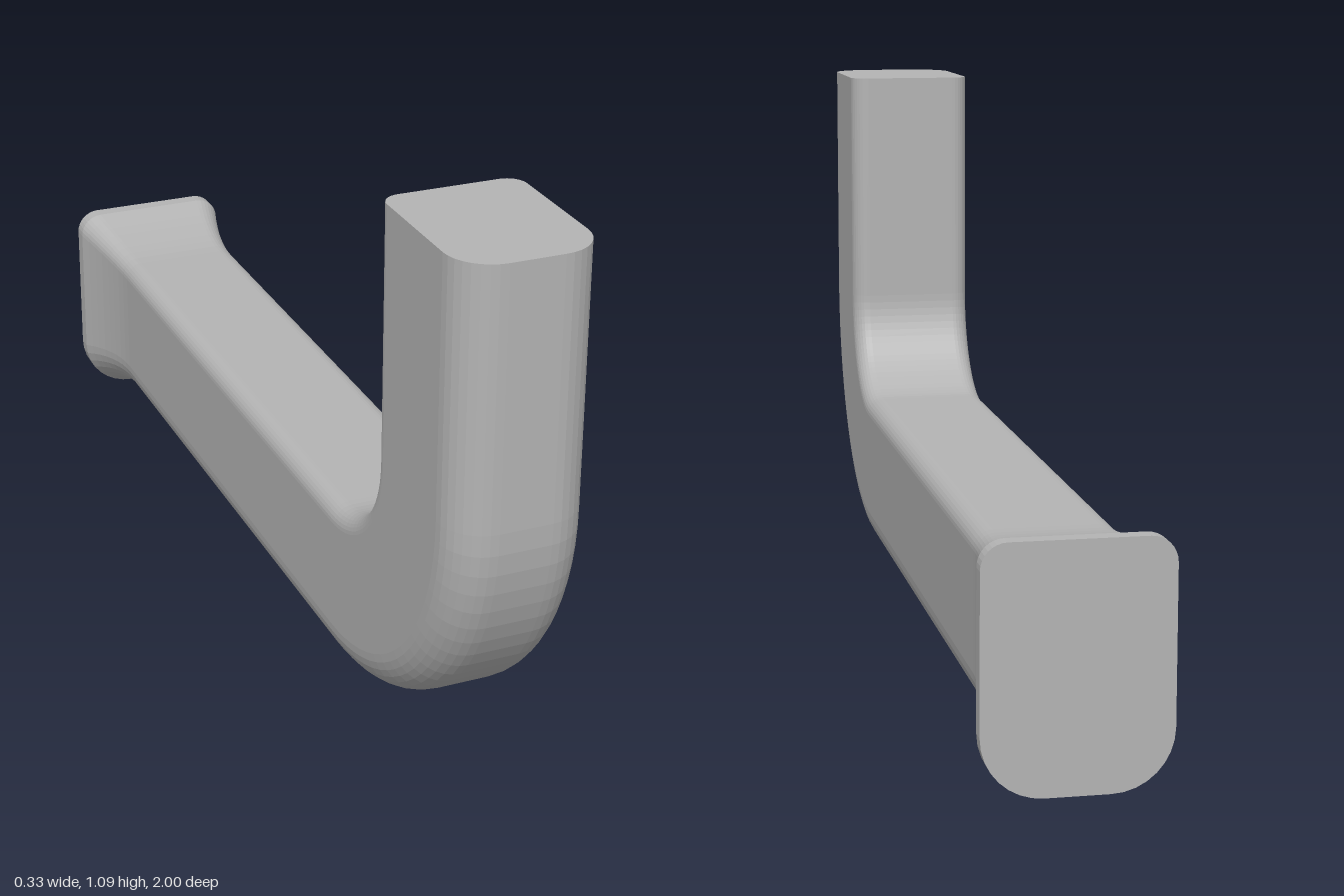
import * as THREE from 'three';

const DEPTH = 0.335, HALF = 0.13, BASE = 0.065; // bar section and its height off the floor
const BEND_Y = 0.6, BEND_Z = 0.465, OUTER_R = 0.535; // elbow centre and outer radius
const TOP = 1.09, CORNER_STEPS = 8, BEND_STEPS = 20, FLARE_STEPS = 8;

// Rounded section as [x, v] points, anticlockwise; v = 0 is the outside of the bend.
// flare runs from 0 (plain bar) to 1 (full end flange).
function section(flare) {
  const hw = HALF + 0.037 * flare;
  const low = -BASE * flare, high = DEPTH + 0.04 * flare;
  const rOut = 0.08 + 0.03 * flare, rIn = 0.035 + 0.012 * flare;
  const corners = [
    [hw - rOut, low + rOut, rOut, -90],
    [hw - rIn, high - rIn, rIn, 0],
    [-hw + rIn, high - rIn, rIn, 90],
    [-hw + rOut, low + rOut, rOut, 180],
  ];
  const points = [];
  for (const [cx, cv, r, start] of corners) {
    for (let k = 0; k <= CORNER_STEPS; k++) {
      const a = THREE.MathUtils.degToRad(start + (90 * k) / CORNER_STEPS);
      points.push([cx + r * Math.cos(a), cv + r * Math.sin(a)]);
    }
  }
  return points;
}

function buildRings() {
  const rings = [];
  const straight = (z, flare) =>
    rings.push(section(flare).map(([x, v]) => [x, v + BASE, z]));

  // End flange, then the flare easing into the bar
  straight(-1, 1);
  for (let i = FLARE_STEPS; i >= 0; i--) {
    const t = i / FLARE_STEPS;
    straight(-0.75 - 0.22 * t, Math.pow(t, 1.8));
  }
  // Elbow, turning the section upwards
  const plain = section(0);
  for (let i = 0; i <= BEND_STEPS; i++) {
    const a = (Math.PI / 2) * (i / BEND_STEPS);
    rings.push(plain.map(([x, v]) => {
      const r = OUTER_R - v;
      return [x, BEND_Y - r * Math.cos(a), BEND_Z + r * Math.sin(a)];
    }));
  }
  // Upright end
  rings.push(plain.map(([x, v]) => [x, TOP, BEND_Z + OUTER_R - v]));
  return rings;
}

// Skin the rings and close both ends
function skin(rings) {
  const n = rings[0].length, last = rings.length - 1;
  const positions = rings.flat(2), index = [];
  for (let i = 0; i < last; i++) {
    for (let j = 0; j < n; j++) {
      const k = (j + 1) % n;
      const a = i * n + j, b = i * n + k;
      index.push(a, b, b + n, a, b + n, a + n);
    }
  }
  for (let j = 1; j < n - 1; j++) {
    index.push(0, j + 1, j);
    index.push(last * n, last * n + j, last * n + j + 1);
  }
  const indexed = new THREE.BufferGeometry();
  indexed.setAttribute('position', new THREE.Float32BufferAttribute(positions, 3));
  indexed.setIndex(index);
  const faceted = indexed.toNonIndexed();
  faceted.computeVertexNormals();
  return faceted;
}

export function createModel() {
  const grey = new THREE.MeshStandardMaterial({ color: 0xb4b4b4, flatShading: true });
  grey.name = 'plain grey';

  const group = new THREE.Group();
  group.name = 'hook';
  const bar = new THREE.Mesh(skin(buildRings()), grey);
  bar.name = 'bentBar';
  group.add(bar);
  return group;
}
